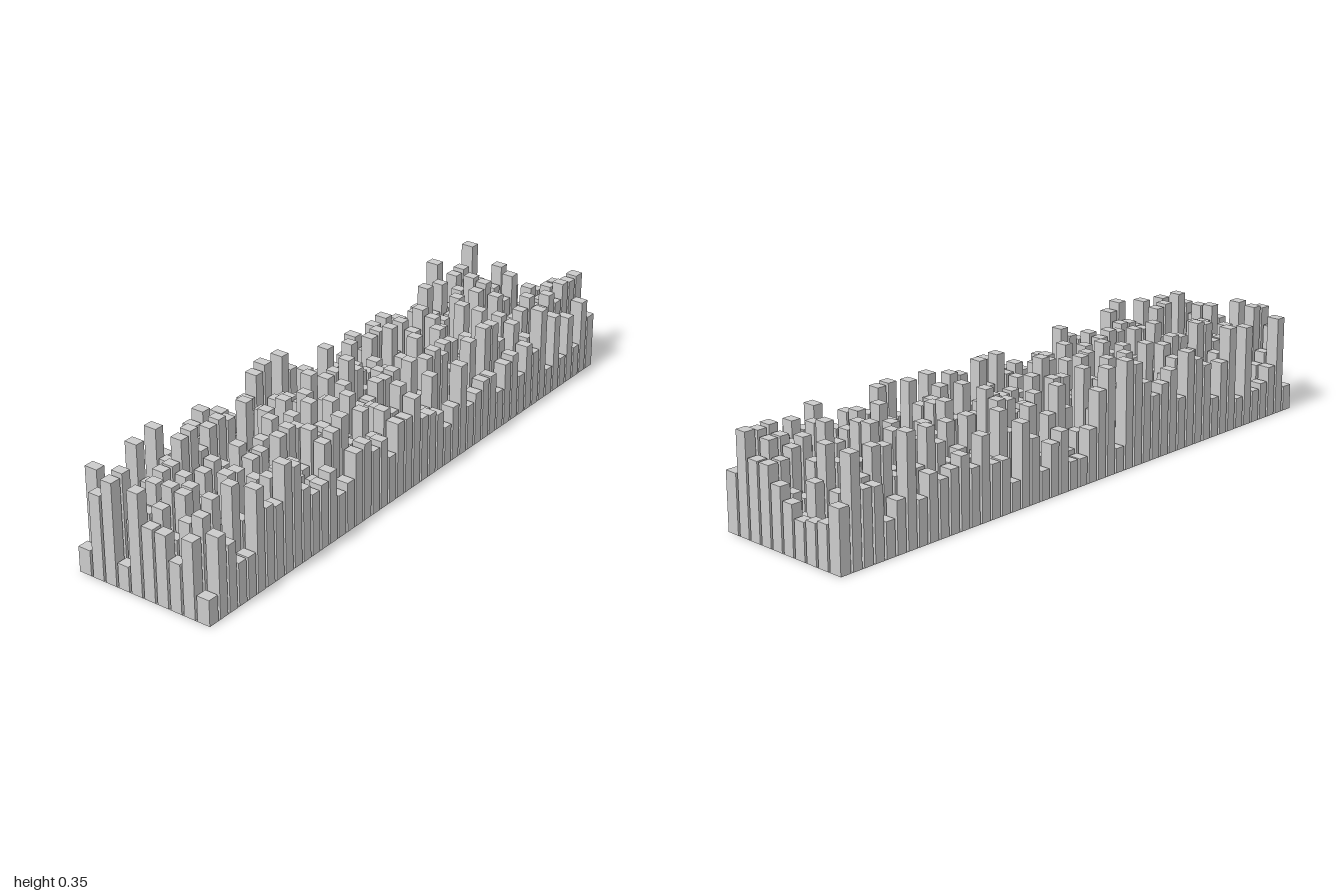
import * as THREE from 'three';
import { mergeGeometries } from 'three/addons/utils/BufferGeometryUtils.js';

const COLS = 10, ROWS = 48;
const HALF_X = 0.241, HALF_Z = 1;
const INSET = 0.0043; // half of the groove between two pillars
const MIN_H = 0.08;

// tallest pillar of each row, from front (+z) to back
const ROW_MAX = [
  0.335, 0.345, 0.342, 0.29, 0.345, 0.345, 0.335, 0.345, 0.355, 0.33, 0.325, 0.335,
  0.32, 0.34, 0.338, 0.32, 0.345, 0.328, 0.355, 0.35, 0.34, 0.345, 0.295, 0.355,
  0.305, 0.318, 0.347, 0.29, 0.318, 0.33, 0.335, 0.30, 0.325, 0.31, 0.34, 0.335,
  0.29, 0.325, 0.335, 0.30, 0.32, 0.355, 0.31, 0.345, 0.30, 0.325, 0.345, 0.325,
];
// tallest pillar of each column, from -x to +x; the last is its usual limit
const COL_MAX = [0.353, 0.324, 0.352, 0.352, 0.354, 0.345, 0.331, 0.343, 0.345, 0.26];
// rows with set heights, from -x to +x
const FIXED_ROWS = {
  0: [0.084, 0.278, 0.335, 0.083, 0.335, 0.238, 0.236, 0.162, 0.25, 0.085],
  1: [0.325, 0.2, 0.345, 0.202, 0.25, 0.28, 0.2, 0.27, 0.304, 0.262],
  47: [0.2, 0.14, 0.13, 0.12, 0.16, 0.2, 0.25, 0.25, 0.325, 0.19],
};
// tall pillars along the +x edge, by row
const EDGE_PEAKS = {
  5: 0.333, 8: 0.355, 9: 0.33, 13: 0.236, 17: 0.256, 23: 0.3, 29: 0.308, 40: 0.32, 42: 0.267,
};

function seeded(seed) {
  return () => {
    seed = (seed * 1664525 + 1013904223) >>> 0;
    return seed / 4294967296;
  };
}

// span of cell i of n: inset on inner sides, flush on the outer border
function span(i, n, half) {
  const step = (2 * half) / n;
  const a = -half + i * step + (i > 0 ? INSET : 0);
  const b = -half + (i + 1) * step - (i < n - 1 ? INSET : 0);
  return { mid: (a + b) / 2, size: b - a };
}

// hollow box standing on y = 0, open at the bottom
function pillar(x, z, h) {
  const g = new THREE.BoxGeometry(x.size, h, z.size);
  const index = Array.from(g.index.array);
  index.splice(18, 6);
  g.setIndex(index);
  return g.translate(x.mid, h / 2, z.mid);
}

// flat strip on the ground, the floor of one groove
function strip(width, depth, x, z) {
  return new THREE.PlaneGeometry(width, depth).rotateX(-Math.PI / 2).translate(x, 0, z);
}

export function createModel() {
  const model = new THREE.Group();
  model.name = 'pillarField';
  const material = new THREE.MeshStandardMaterial({
    color: 0xcccccc, flatShading: true, side: THREE.DoubleSide,
  });
  const rand = seeded(71);

  // rows of square pillars of uneven height
  for (let r = 0; r < ROWS; r++) {
    const z = span(ROWS - 1 - r, ROWS, HALF_Z);
    const tallest = Math.floor(rand() * (COLS - 1));
    const pillars = [];
    for (let c = 0; c < COLS; c++) {
      const limit = Math.min(ROW_MAX[r], COL_MAX[c]);
      const random = MIN_H + rand() * (limit - MIN_H);
      let h = FIXED_ROWS[r]?.[c] ?? (c === tallest ? limit : random);
      if (c === COLS - 1) h = EDGE_PEAKS[r] ?? h;
      pillars.push(pillar(span(c, COLS, HALF_X), z, h));
    }
    const row = new THREE.Mesh(mergeGeometries(pillars), material);
    row.name = `pillarRow${r + 1}`;
    model.add(row);
  }

  // lattice of groove floors joining the open pillars
  const strips = [];
  for (let c = 1; c < COLS; c++) {
    strips.push(strip(2 * INSET, 2 * HALF_Z, -HALF_X + (c * 2 * HALF_X) / COLS, 0));
  }
  for (let r = 1; r < ROWS; r++) {
    strips.push(strip(2 * HALF_X, 2 * INSET, 0, -HALF_Z + (r * 2 * HALF_Z) / ROWS));
  }
  const grooves = new THREE.Mesh(mergeGeometries(strips), material);
  grooves.name = 'grooveFloor';
  model.add(grooves);

  return model;
}
